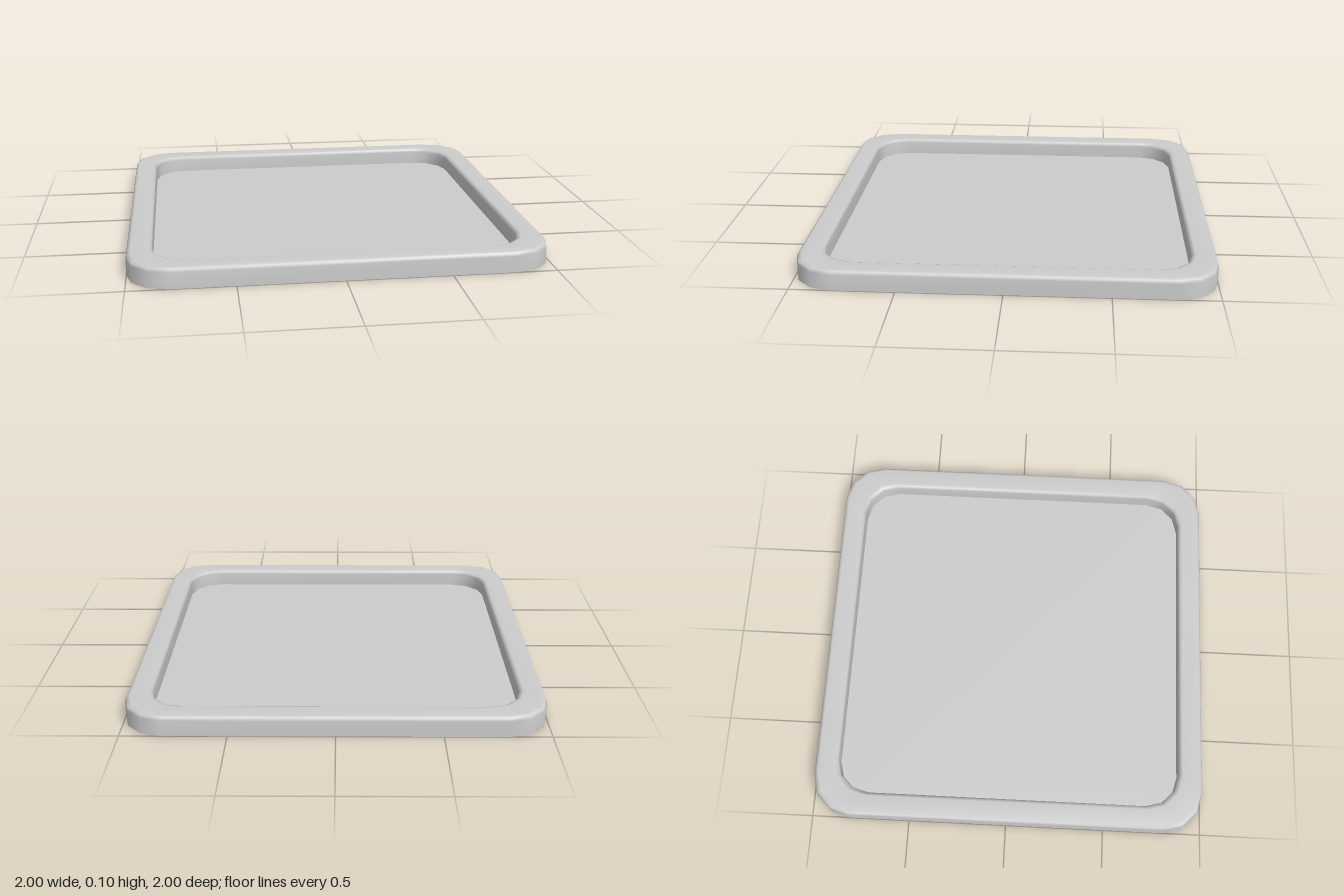
import * as THREE from 'three';

const CORNER_STEPS = 3;

// Points of a rounded square, as [x, z], walking from +x towards +z
function roundedSquare(half, radius) {
  const points = [];
  for (let corner = 0; corner < 4; corner++) {
    const mid = (corner + 0.5) * Math.PI / 2;
    const cx = Math.sign(Math.cos(mid)) * (half - radius);
    const cz = Math.sign(Math.sin(mid)) * (half - radius);
    for (let j = 0; j <= CORNER_STEPS; j++) {
      const a = (corner + j / CORNER_STEPS) * Math.PI / 2;
      points.push([cx + radius * Math.cos(a), cz + radius * Math.sin(a)]);
    }
  }
  return points;
}

// Sweeps a rim profile of [half size, height] around the rounded square
function rimGeometry(profile) {
  const positions = [], index = [];
  const n = 4 * (CORNER_STEPS + 1);
  profile.forEach(([half, y], row) => {
    const radius = 0.17 + (half - 0.88) * 0.21;
    for (const [x, z] of roundedSquare(half, radius)) positions.push(x, y, z);
    if (row === 0) return;
    for (let i = 0; i < n; i++) {
      const next = (i + 1) % n;
      const a = (row - 1) * n + i, b = (row - 1) * n + next;
      const c = row * n + i, d = row * n + next;
      index.push(a, c, b, b, c, d);
    }
  });
  const geometry = new THREE.BufferGeometry();
  geometry.setAttribute('position', new THREE.Float32BufferAttribute(positions, 3));
  geometry.setIndex(index);
  geometry.computeVertexNormals();
  return geometry;
}

export function createModel() {
  const model = new THREE.Group();
  model.name = 'tray';
  const grey = new THREE.MeshStandardMaterial({ color: 0xcccccc, side: THREE.DoubleSide });
  grey.name = 'light grey';

  // Raised rim: a thin shell, hollow underneath
  const rim = new THREE.Mesh(rimGeometry([
    [1, 0], [1, 0.08], [0.994, 0.094], [0.98, 0.1],
    [0.9, 0.1], [0.886, 0.094], [0.88, 0.08], [0.88, 0.01],
  ]), grey);
  rim.name = 'rim';

  // Flat floor inside the rim
  const outline = roundedSquare(0.88, 0.17).map(([x, z]) => new THREE.Vector2(x, z));
  const floor = new THREE.Mesh(new THREE.ShapeGeometry(new THREE.Shape(outline)), grey);
  floor.geometry.rotateX(-Math.PI / 2).translate(0, 0.01, 0);
  floor.name = 'floor';

  model.add(rim, floor);
  return model;
}
